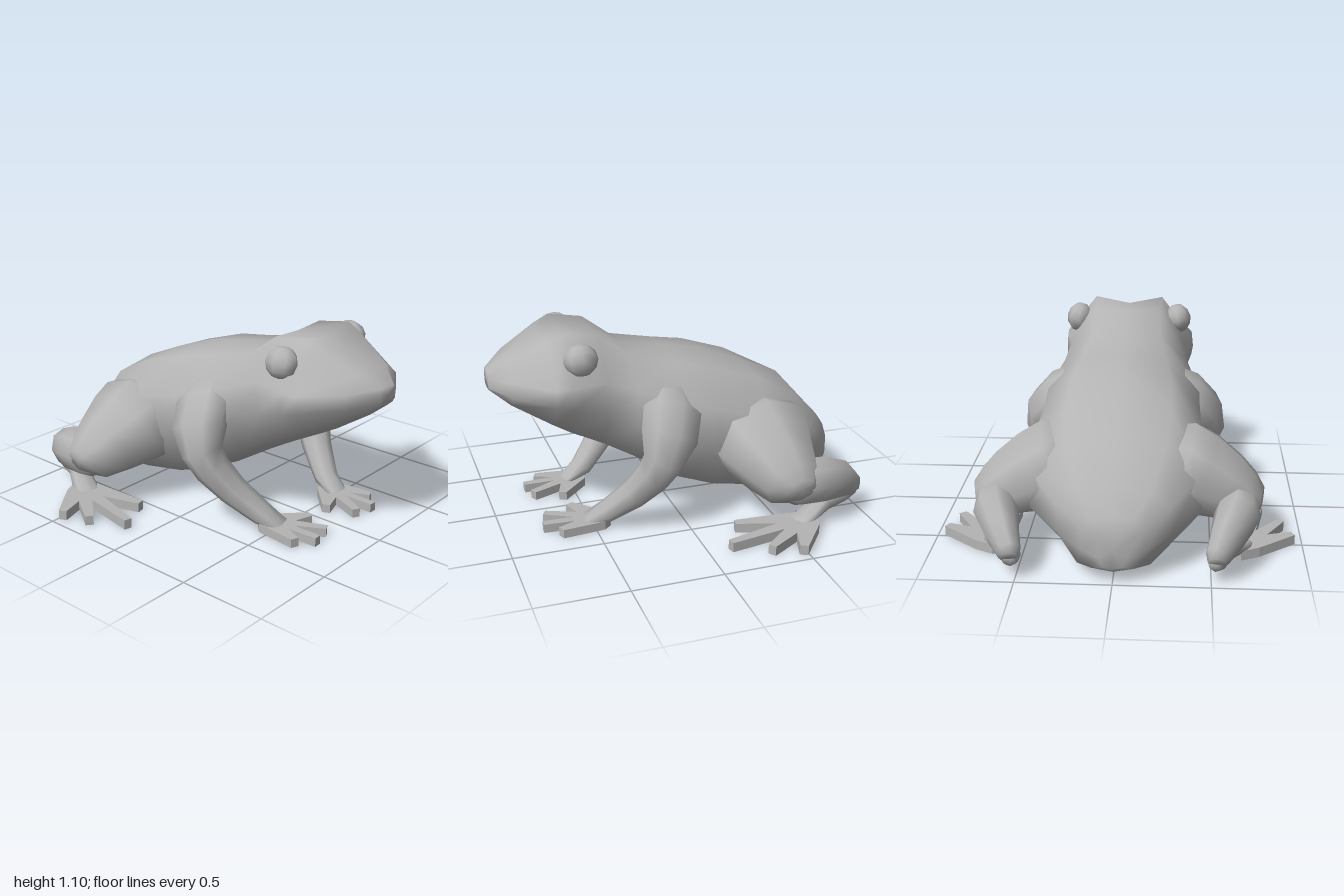
import * as THREE from 'three';

const skin = new THREE.MeshStandardMaterial({ color: 0xb4b4b4 });
skin.name = 'greySkin';

// Skin a list of closed rings (arrays of Vector3) and close both ends
function loft(rings) {
  const n = rings[0].length, pos = [], idx = [];
  rings.forEach(r => r.forEach(p => pos.push(p.x, p.y, p.z)));
  for (let i = 0; i < rings.length - 1; i++) {
    for (let j = 0; j < n; j++) {
      const a = i * n + j, b = i * n + (j + 1) % n;
      idx.push(a, b, a + n, b, b + n, a + n);
    }
  }
  [0, rings.length - 1].forEach((i, end) => {
    const c = new THREE.Vector3();
    rings[i].forEach(p => c.addScaledVector(p, 1 / n));
    const k = pos.length / 3;
    pos.push(c.x, c.y, c.z);
    for (let j = 0; j < n; j++) {
      const a = i * n + j, b = i * n + (j + 1) % n;
      end ? idx.push(k, a, b) : idx.push(k, b, a);
    }
  });
  const g = new THREE.BufferGeometry();
  g.setAttribute('position', new THREE.Float32BufferAttribute(pos, 3));
  g.setIndex(idx);
  g.computeVertexNormals();
  return g;
}

// Limb along stations [x, y, z, sideRadius, otherRadius]
function limb(stations, ref, sides = 8) {
  const c = stations.map(s => new THREE.Vector3(s[0], s[1], s[2]));
  return loft(stations.map((s, i) => {
    const t = c[Math.min(i + 1, c.length - 1)].clone().sub(c[Math.max(i - 1, 0)]).normalize();
    const u = t.clone().cross(ref).normalize();
    const v = t.clone().cross(u);
    return Array.from({ length: sides }, (_, j) => {
      const a = j / sides * Math.PI * 2;
      return c[i].clone().addScaledVector(u, Math.cos(a) * s[3]).addScaledVector(v, Math.sin(a) * s[4]);
    });
  }));
}

// Flat webless foot: toes fan out from a palm, drawn in x and z
function paw(palm, tips, heel, valley, width, height) {
  const p = new THREE.Vector2(...palm);
  const dirs = tips.map(t => new THREE.Vector2(...t).sub(p));
  const pts = [];
  dirs.forEach((d, i) => {
    const n = new THREE.Vector2(-d.y, d.x).normalize().multiplyScalar(width / 2);
    const tip = p.clone().add(d);
    pts.push(tip.clone().add(n), tip.clone().sub(n));
    if (i < dirs.length - 1) {
      const mid = d.clone().normalize().add(dirs[i + 1].clone().normalize()).normalize();
      pts.push(p.clone().addScaledVector(mid, valley));
    }
  });
  heel.forEach(h => pts.push(new THREE.Vector2(...h)));
  const shape = new THREE.Shape(pts.map(q => new THREE.Vector2(q.x, -q.y)));
  return new THREE.ExtrudeGeometry(shape, { depth: height, bevelEnabled: false }).rotateX(-Math.PI / 2);
}

// Mirror across x and turn the faces back outward
function mirrored(geometry) {
  const g = geometry.clone().scale(-1, 1, 1);
  const idx = g.index ? Array.from(g.index.array) : Array.from({ length: g.attributes.position.count }, (_, i) => i);
  g.setIndex(idx.reverse());
  return g;
}

export function createModel() {
  const model = new THREE.Group();
  model.name = 'frog';
  const add = (name, geometry) => {
    const m = new THREE.Mesh(geometry, skin);
    m.name = name;
    model.add(m);
  };
  const pair = (name, geometry) => {
    add('left' + name, geometry);
    add('right' + name, mirrored(geometry));
  };

  // Head and body: z, top, then x,y of brow, cheek, flank, belly edge, then bottom
  const sections = [
    [-1.0, 0.29, 0.05, 0.28, 0.07, 0.24, 0.07, 0.15, 0.05, 0.1, 0.09],
    [-0.97, 0.36, 0.11, 0.35, 0.16, 0.29, 0.16, 0.18, 0.11, 0.08, 0.06],
    [-0.88, 0.48, 0.19, 0.46, 0.29, 0.38, 0.29, 0.23, 0.19, 0.06, 0.03],
    [-0.7, 0.68, 0.26, 0.64, 0.44, 0.48, 0.45, 0.28, 0.27, 0.08, 0.04],
    [-0.47, 0.78, 0.28, 0.76, 0.46, 0.58, 0.47, 0.36, 0.28, 0.1, 0.07],
    [-0.2, 0.88, 0.27, 0.85, 0.43, 0.66, 0.45, 0.42, 0.28, 0.15, 0.11],
    [0, 0.92, 0.24, 0.89, 0.43, 0.71, 0.45, 0.48, 0.27, 0.22, 0.17],
    [0.26, 0.96, 0.2, 0.95, 0.36, 0.8, 0.36, 0.6, 0.25, 0.38, 0.33],
    [0.42, 1.06, 0.19, 1.07, 0.34, 0.86, 0.34, 0.68, 0.24, 0.47, 0.42],
    [0.61, 1.06, 0.2, 1.1, 0.38, 0.86, 0.385, 0.74, 0.26, 0.57, 0.52],
    [0.7, 1.03, 0.18, 1.06, 0.385, 0.86, 0.395, 0.77, 0.25, 0.62, 0.57],
    [0.9, 0.95, 0.12, 0.95, 0.23, 0.87, 0.24, 0.79, 0.15, 0.72, 0.7],
    [1.0, 0.88, 0.05, 0.88, 0.07, 0.86, 0.07, 0.8, 0.05, 0.785, 0.78],
  ];
  add('body', loft(sections.map(([z, top, ...s]) => {
    const bottom = s.pop(), side = [];
    for (let i = 0; i < s.length; i += 2) side.push(new THREE.Vector3(s[i], s[i + 1], z));
    const other = side.map(p => new THREE.Vector3(-p.x, p.y, z));
    // Counter-clockwise seen from the front
    return [new THREE.Vector3(0, top, z), ...other, new THREE.Vector3(0, bottom, z), ...side.reverse()];
  })));

  // Eyes
  pair('Eye', new THREE.SphereGeometry(0.095, 8, 6).scale(0.8, 0.92, 1).rotateZ(0.2).translate(0.3, 0.985, 0.55));

  // Front legs
  const X = new THREE.Vector3(1, 0, 0), Y = new THREE.Vector3(0, 1, 0);
  pair('FrontLeg', limb([
    [0.25, 0.77, 0.02, 0.12, 0.07],
    [0.36, 0.66, 0.06, 0.18, 0.12],
    [0.45, 0.55, 0.11, 0.17, 0.125],
    [0.475, 0.43, 0.155, 0.12, 0.11],
    [0.45, 0.34, 0.205, 0.1, 0.1],
    [0.385, 0.22, 0.29, 0.08, 0.09],
    [0.3, 0.09, 0.425, 0.06, 0.075],
    [0.26, 0.035, 0.54, 0.02, 0.07],
  ], X));
  pair('Hand', paw([0.27, 0.5], [[0.075, 0.59], [0.14, 0.75], [0.26, 0.78], [0.355, 0.7]],
    [[0.35, 0.45], [0.31, 0.41], [0.22, 0.42]], 0.11, 0.045, 0.05));

  // Hind legs: thigh, shin folded back, ankle folded forward
  pair('Thigh', limb([
    [0.2, 0.48, -0.46, 0.24, 0.2],
    [0.34, 0.44, -0.46, 0.31, 0.25],
    [0.45, 0.4, -0.47, 0.29, 0.225],
    [0.58, 0.34, -0.49, 0.23, 0.185],
    [0.69, 0.29, -0.515, 0.18, 0.14],
    [0.77, 0.285, -0.53, 0.09, 0.06],
  ], Y));
  pair('Shin', limb([
    [0.67, 0.28, -0.46, 0.07, 0.09],
    [0.65, 0.27, -0.56, 0.11, 0.135],
    [0.63, 0.26, -0.7, 0.12, 0.135],
    [0.575, 0.21, -0.86, 0.09, 0.11],
    [0.53, 0.15, -0.95, 0.065, 0.075],
    [0.525, 0.13, -0.98, 0.045, 0.045],
  ], Y));
  pair('Ankle', limb([
    [0.52, 0.12, -0.97, 0.04, 0.04],
    [0.53, 0.1, -0.9, 0.055, 0.05],
    [0.57, 0.085, -0.76, 0.06, 0.05],
    [0.64, 0.06, -0.64, 0.07, 0.035],
    [0.68, 0.04, -0.54, 0.07, 0.012],
  ], Y));
  pair('Foot', paw([0.68, -0.6], [[0.59, -0.22], [0.785, -0.12], [0.895, -0.31], [0.95, -0.47]],
    [[0.76, -0.65], [0.66, -0.7], [0.59, -0.67]], 0.17, 0.045, 0.055));

  return model;
}
